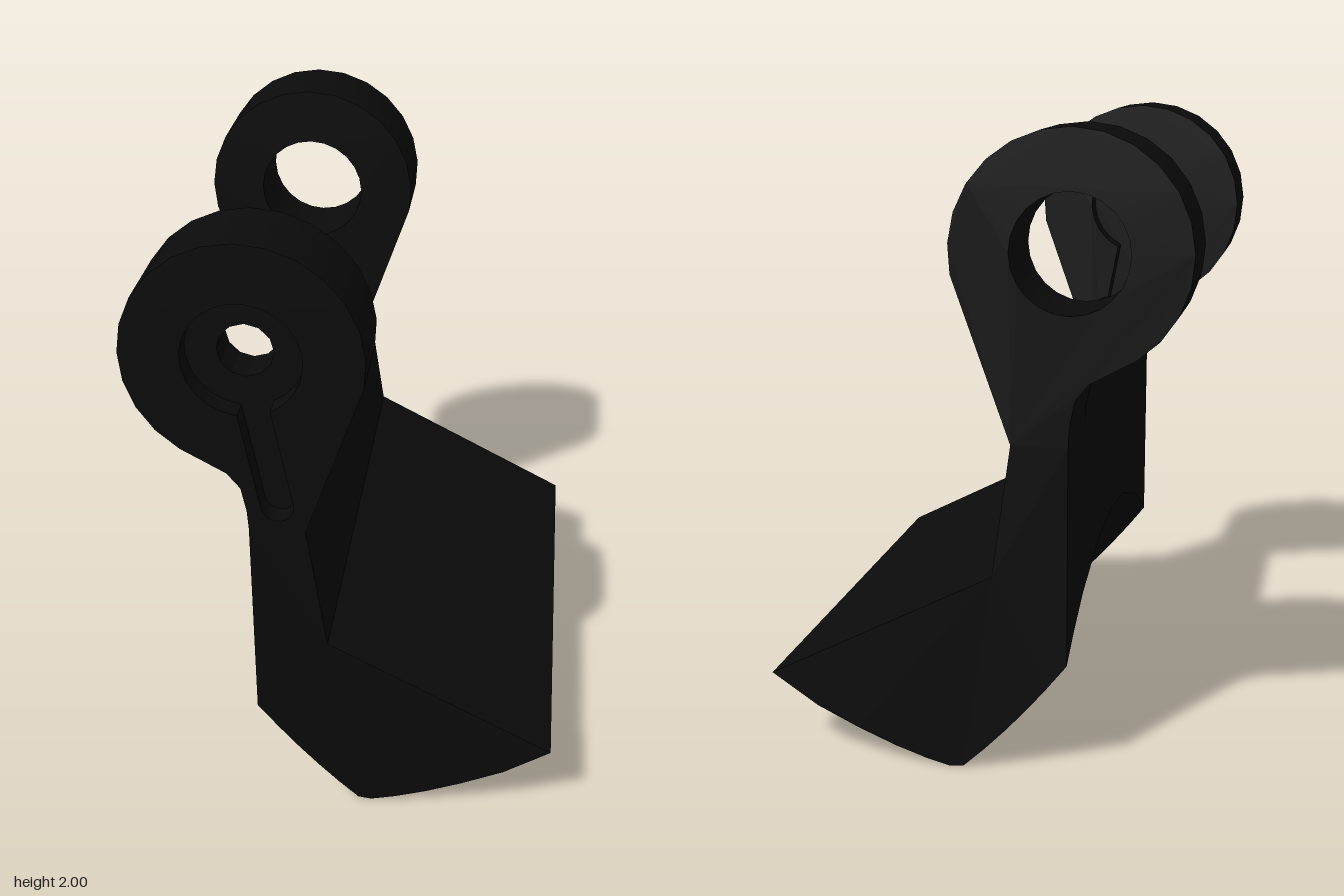
import * as THREE from 'three';
import { toCreasedNormals } from 'three/addons/utils/BufferGeometryUtils.js';

const V = (x, y) => new THREE.Vector2(x, y);
const HALF = 0.82, INNER = 0.55, NECK = 1.065;
const EYE = V(-0.3, 1.64);

// Points on an arc, angles in degrees
function arc(c, r, from, to, n) {
  return Array.from({ length: n + 1 }, (_, i) => {
    const a = THREE.MathUtils.degToRad(from + (to - from) * i / n);
    return V(c.x + r * Math.cos(a), c.y + r * Math.sin(a));
  });
}

// Plate of a given outline between two z positions
function plate(outline, hole, z0, z1) {
  const shape = new THREE.Shape(outline);
  if (hole) shape.holes.push(new THREE.Path(hole));
  const geo = new THREE.ExtrudeGeometry(shape, { depth: z1 - z0, bevelEnabled: false });
  geo.translate(0, 0, z0);
  return toCreasedNormals(geo, 0.5);
}

// Underside height of the blade at x
const UNDER = [[0.03, 0.008], [0.07, 0.002], [0.13, 0.015], [0.3, 0.07], [0.5, 0.16], [0.66, 0.265]];
function under(x) {
  let k = 0;
  while (k < UNDER.length - 2 && x > UNDER[k + 1][0]) k++;
  const [a, b] = [UNDER[k], UNDER[k + 1]];
  return a[1] + (b[1] - a[1]) * (x - a[0]) / (b[0] - a[0]);
}

// Cross-section of neck and blade; the heel is scooped toward the middle
function section(z) {
  const s = 0.23 * (1 - (z / HALF) ** 2);
  const pts = [V(-0.3, NECK)];
  const ax = 0.03 + s, ay = under(ax), by = 0.375 + 1.12 * s;
  for (let i = 0; i < 5; i++) {
    const t = i / 5;
    pts.push(V(-0.3 + (ax + 0.3) * t, by + (ay - by) * t - 0.07 * t * (1 - t)));
  }
  for (let i = 0; i <= 6; i++) {
    const x = ax + (0.66 - ax) * (i / 6) ** 1.5;
    pts.push(V(x, under(x)));
  }
  pts.push(V(-0.065, 0.645), V(-0.125, NECK));
  return pts;
}

function bladeGeometry() {
  const zs = [-HALF, -0.7, -INNER, -0.25, 0, 0.25, INNER, 0.7, HALF];
  const rings = zs.map(z => section(z).map(p => [p.x, p.y, z]));
  const pos = [];
  for (let k = 0; k < zs.length - 1; k++) {
    const A = rings[k], B = rings[k + 1];
    A.forEach((a, i) => {
      const j = (i + 1) % A.length;
      pos.push(...a, ...A[j], ...B[j], ...a, ...B[j], ...B[i]);
    });
  }
  // End caps
  const first = rings[0], last = rings[rings.length - 1];
  for (const [a, b, c] of THREE.ShapeUtils.triangulateShape(section(HALF), [])) {
    pos.push(...last[a], ...last[b], ...last[c], ...first[a], ...first[c], ...first[b]);
  }
  const geo = new THREE.BufferGeometry();
  geo.setAttribute('position', new THREE.Float32BufferAttribute(pos, 3));
  geo.computeVertexNormals();
  return toCreasedNormals(geo, 0.4);
}

export function createModel() {
  const model = new THREE.Group();
  model.name = 'hingedBladeBracket';
  const black = new THREE.MeshStandardMaterial({ color: 0x0b0b0b });
  black.name = 'black';
  const add = (name, geo, parent = model) => {
    const mesh = new THREE.Mesh(geo, black);
    mesh.name = name;
    parent.add(mesh);
  };

  // Neck and blade across the full width
  add('neckAndBlade', bladeGeometry());

  // Rounded bridge between the two lugs
  add('bridge', plate([V(-0.3, NECK), V(-0.125, NECK),
    ...arc(V(-0.2, 1.19), 0.1, 0, 180, 10)], null, -INNER, INNER));

  // Eye lugs
  const lug = [V(-0.3, NECK), V(-0.125, NECK), ...arc(EYE, 0.362, -11, 237, 17),
    V(-0.36, 1.26), V(-0.32, 1.21), V(-0.304, 1.13)];
  add('backLug', plate(lug, arc(EYE, 0.18, 0, 345, 23), -HALF, -INNER));

  // Front lug: a web with a small bore between two keyhole recesses
  const keyhole = [...arc(EYE, 0.18, -64, 264, 22), ...arc(V(-0.21, 1.15), 0.05, 190, 370, 8)];
  const frontLug = new THREE.Group();
  frontLug.name = 'frontLug';
  model.add(frontLug);
  add('innerRim', plate(lug, keyhole, INNER, 0.62), frontLug);
  add('web', plate(lug, arc(EYE, 0.085, 0, 330, 11), 0.62, 0.75), frontLug);
  add('outerRim', plate(lug, keyhole, 0.75, HALF), frontLug);

  return model;
}
